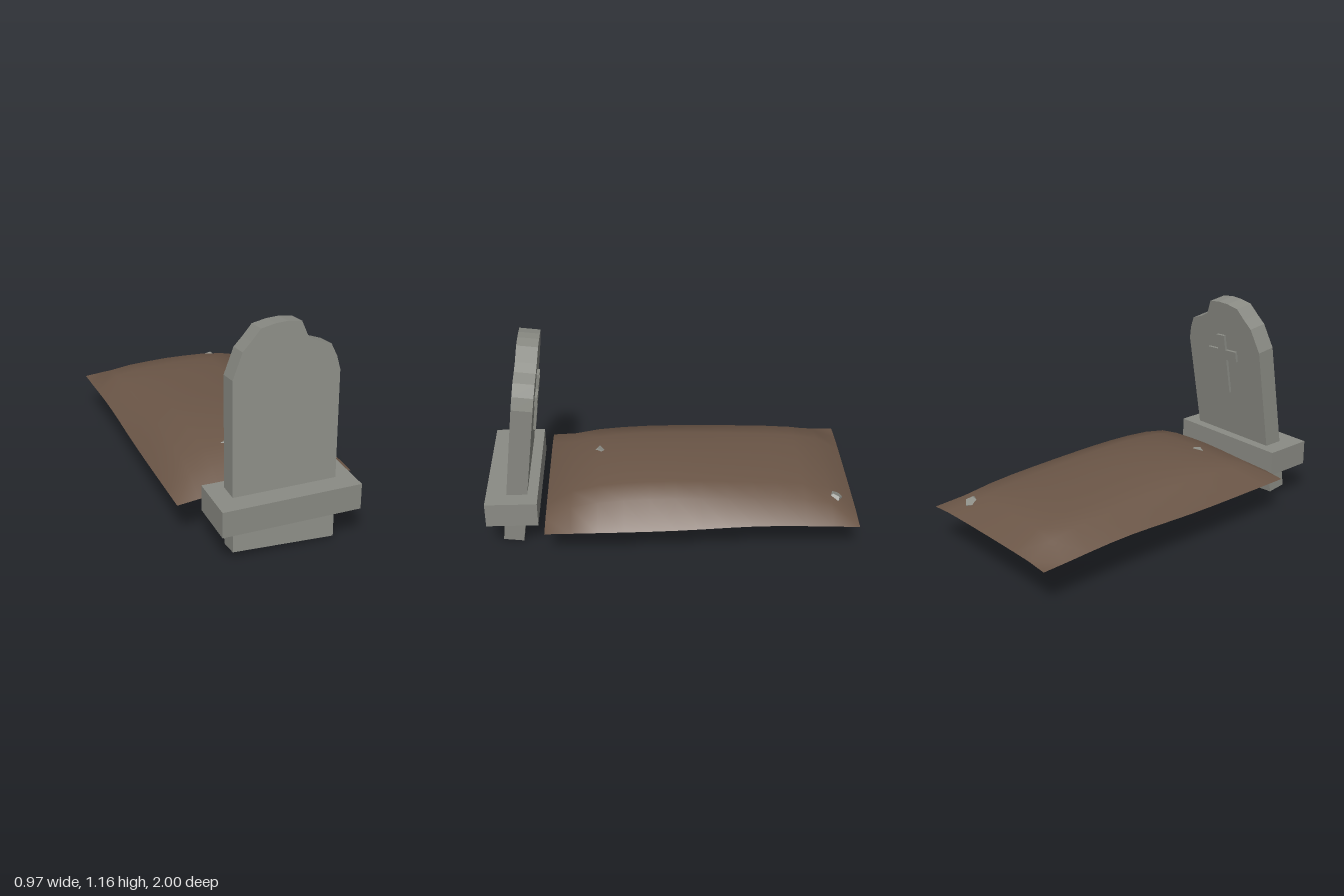
import * as THREE from 'three';

const stone = new THREE.MeshStandardMaterial({ color: 0x8a8b84, flatShading: true });
const soil = new THREE.MeshStandardMaterial({ color: 0x6b5647, side: THREE.DoubleSide });

function add(parent, name, geometry, material, x = 0, y = 0, z = 0) {
  const mesh = new THREE.Mesh(geometry, material);
  mesh.name = name;
  mesh.position.set(x, y, z);
  parent.add(mesh);
  return mesh;
}

// Sample evenly spaced values at t in 0..1
function sample(values, t) {
  const f = Math.min(Math.max(t, 0), 1) * (values.length - 1);
  const i = Math.min(Math.floor(f), values.length - 2);
  return THREE.MathUtils.lerp(values[i], values[i + 1], f - i);
}

// Slab with a chipped, rounded top, leaning backwards, and a raised cross on its back
function createHeadstone() {
  const group = new THREE.Group();
  group.name = 'headstone';
  const depth = 0.112;
  const outline = [
    [-0.287, 0.045], [0.26, 0.015], [0.315, 0.892], [0.299, 0.962], [0.27, 1.028],
    [0.2, 1.053], [0.148, 1.083], [0.117, 1.162], [0.045, 1.172], [-0.02, 1.169],
    [-0.095, 1.154], [-0.147, 1.098], [-0.193, 1.053], [-0.25, 0.922],
  ].map(([x, y]) => new THREE.Vector2(x, y));
  const slab = new THREE.ExtrudeGeometry(new THREE.Shape(outline), { depth, bevelEnabled: false });
  add(group, 'slab', slab, stone, 0, 0, -depth);

  const cross = new THREE.Group();
  cross.name = 'cross';
  cross.position.set(0.03, 0.795, -depth - 0.004);
  cross.rotation.z = -0.0525;
  const w = 0.03, arm = 0.11, low = 0.03, high = 0.09, end = 0.178;
  const crossShape = new THREE.Shape([
    [-w, -end], [w, -end], [w, low], [arm, low], [arm, high], [w, high],
    [w, end], [-w, end], [-w, high], [-arm, high], [-arm, low], [-w, low],
  ].map(([x, y]) => new THREE.Vector2(x, y)));
  const crossGeometry = new THREE.ExtrudeGeometry(crossShape, { depth: 0.02, bevelEnabled: false });
  add(cross, 'raisedCross', crossGeometry, stone, 0, 0, -0.011);
  group.add(cross);

  group.position.z = 0.93;
  group.rotation.x = -0.122;
  return group;
}

// Open sheet of earth, swollen in the middle and dropping at all four edges
function createMound() {
  const across = [0, 0.74, 0.91, 0.97, 1];
  const ridge = [0.235, 0.323, 0.348, 0.36, 0.368, 0.376, 0.383, 0.388, 0.388, 0.381, 0.365, 0.33, 0.235];
  const geometry = new THREE.PlaneGeometry(0.97, 1.68, 8, 12).rotateX(-Math.PI / 2).translate(0, 0, -0.16);
  const p = geometry.attributes.position;
  for (let i = 0; i < p.count; i++) {
    const x = p.getX(i), z = p.getZ(i);
    const edge = 0.217 + 0.022 * Math.exp(-(((z + 0.5) / 0.38) ** 2));
    const top = sample(ridge, (z + 1) / 1.68);
    p.setY(i, THREE.MathUtils.lerp(edge, top, sample(across, 1 - Math.abs(x) / 0.485)));
  }
  geometry.computeVertexNormals();
  return geometry;
}

export function createModel() {
  const model = new THREE.Group();
  model.name = 'grave';
  model.add(createHeadstone());
  add(model, 'plinth', new THREE.BoxGeometry(0.742, 0.14, 0.28), stone, -0.001, 0.26, 0.86);
  add(model, 'earthMound', createMound(), soil);

  // Rocks buried under the earth
  const rocks = [[0.29, 0.265, -0.88], [-0.12, 0.335, 0], [-0.1, 0.325, 0.39]];
  rocks.forEach(([x, y, z], i) => {
    const rock = add(model, 'rock' + (i + 1), new THREE.DodecahedronGeometry(0.055), stone, x, y, z);
    rock.scale.y = 0.8;
    rock.rotation.set(0.3 * i, 0.9 * i, 0.2);
  });
  return model;
}
